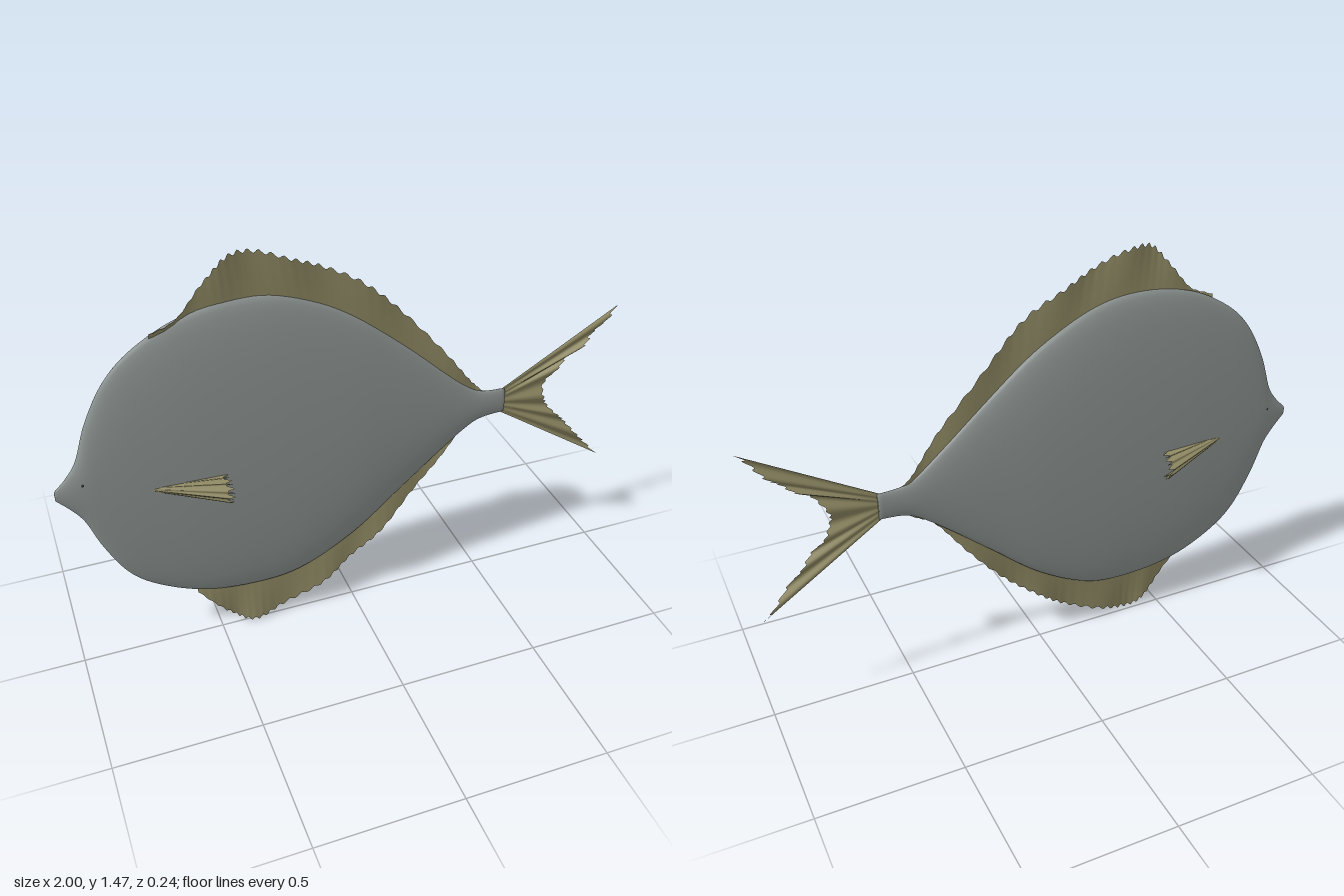
import * as THREE from 'three';

const bodyMat = new THREE.MeshStandardMaterial({ color: 0x8b9290 });
bodyMat.name = 'silver grey';
const finMat = new THREE.MeshStandardMaterial({ color: 0x8f8963, side: THREE.DoubleSide });
finMat.name = 'olive fin';
const eyeMat = new THREE.MeshStandardMaterial({ color: 0x2c2f2e });
eyeMat.name = 'dark eye';

const spline = (pts) =>
  new THREE.CatmullRomCurve3(pts.map(([x, y, z = 0]) => new THREE.Vector3(x, y, z)), false, 'catmullrom', 0.5);

// Grid surface from fn(u, v) -> [x, y, z]; closed wraps the v direction
function surface(nu, nv, fn, closed = false) {
  const pos = [], index = [];
  const cols = closed ? nv : nv + 1;
  for (let i = 0; i <= nu; i++) for (let j = 0; j < cols; j++) pos.push(...fn(i / nu, j / nv));
  for (let i = 0; i < nu; i++) {
    for (let j = 0; j < nv; j++) {
      const k = (j + 1) % cols;
      const a = i * cols + j, b = i * cols + k, c = a + cols, d = b + cols;
      index.push(a, b, c, b, d, c);
    }
  }
  const g = new THREE.BufferGeometry();
  g.setAttribute('position', new THREE.Float32BufferAttribute(pos, 3));
  g.setIndex(index);
  g.computeVertexNormals();
  return g;
}

function mesh(name, geometry, material) {
  const m = new THREE.Mesh(geometry, material);
  m.name = name;
  return m;
}

// Body stations: x, top, bottom, half thickness
const stations = [
  [-1, 0.74, 0.705, 0.005], [-0.96, 0.78, 0.66, 0.014], [-0.92, 0.84, 0.6, 0.022],
  [-0.875, 0.97, 0.48, 0.029], [-0.805, 1.1, 0.35, 0.036], [-0.71, 1.195, 0.265, 0.043],
  [-0.56, 1.275, 0.194, 0.051], [-0.38, 1.307, 0.167, 0.055], [-0.2, 1.283, 0.185, 0.055],
  [0, 1.18, 0.29, 0.05], [0.18, 1.035, 0.44, 0.038], [0.33, 0.9, 0.567, 0.026],
  [0.43, 0.815, 0.645, 0.018], [0.49, 0.785, 0.674, 0.014], [0.575, 0.778, 0.682, 0.01],
];
const topCurve = spline(stations.map(([x, t, , w]) => [x, t, w]));
const bottomCurve = spline(stations.map(([x, , b]) => [x, b]));

function bodyGeometry() {
  const n = 90;
  return surface(n, 48, (u, v) => {
    const row = Math.round(u * n);
    const t = THREE.MathUtils.clamp((row - 1) / (n - 2), 0, 1);
    const size = row === 0 || row === n ? 0 : 1; // closes both ends
    const p = topCurve.getPoint(t), q = bottomCurve.getPoint(t);
    const a = v * Math.PI * 2;
    return [
      p.x,
      (p.y + q.y) / 2 + size * Math.cos(a) * (p.y - q.y) / 2,
      size * Math.sin(a) * p.z,
    ];
  }, true);
}

// Scalloped edge: 0 on the ray tips, growing to 1 in the notches
const notch = (u, count) => Math.abs(Math.sin(u * count * Math.PI)) ** 2;

// Ruled fin membrane between a root curve and a ragged tip curve, gently rippled in z
function finGeometry(root, tip, { rays, ragged, wave, waves, lean = 0 }) {
  return surface(rays * 6, 8, (u, v) => {
    const a = root.getPoint(u), b = tip.getPoint(u);
    const p = a.lerp(b, v * (1 - ragged * notch(u, rays)));
    const z = v * (wave * Math.sin(u * waves * Math.PI * 2) + lean * (1 - u));
    return [p.x, p.y, p.z + z];
  });
}

export function createModel() {
  const model = new THREE.Group();
  model.name = 'fish';
  model.add(mesh('body', bodyGeometry(), bodyMat));

  // Long fins above and below the body
  const dorsalRoot = spline([[-0.65, 1.2], [-0.56, 1.24], [-0.46, 1.26], [-0.38, 1.27], [-0.28, 1.26],
    [-0.17, 1.23], [-0.06, 1.17], [0.06, 1.09], [0.18, 1], [0.32, 0.87], [0.43, 0.78], [0.49, 0.76]]);
  const dorsalTip = spline([[-0.65, 1.245], [-0.56, 1.285], [-0.47, 1.39], [-0.4, 1.462], [-0.31, 1.462],
    [-0.2, 1.42], [-0.09, 1.37], [0.04, 1.295], [0.17, 1.17], [0.33, 0.985], [0.436, 0.845], [0.49, 0.785]]);
  const ripple = { rays: 32, ragged: 0.07, wave: 0.006, waves: 5, lean: 0.012 };
  model.add(mesh('dorsalFin', finGeometry(dorsalRoot, dorsalTip, ripple), finMat));

  const analRoot = spline([[-0.58, 0.24], [-0.47, 0.21], [-0.39, 0.2], [-0.28, 0.21], [-0.12, 0.26],
    [0, 0.33], [0.12, 0.42], [0.26, 0.55], [0.38, 0.65], [0.48, 0.7]]);
  const analTip = spline([[-0.58, 0.195], [-0.47, 0.06], [-0.39, 0], [-0.28, 0.024], [-0.12, 0.09],
    [0, 0.18], [0.125, 0.285], [0.275, 0.462], [0.39, 0.612], [0.48, 0.672]]);
  model.add(mesh('analFin', finGeometry(analRoot, analTip, ripple), finMat));

  // Forked tail
  const tailRoot = spline([[0.56, 0.775], [0.56, 0.73], [0.56, 0.685]]);
  const tailTip = spline([[1, 1.03], [0.925, 0.935], [0.86, 0.875], [0.785, 0.82], [0.735, 0.735],
    [0.765, 0.66], [0.83, 0.59], [0.9, 0.505], [1, 0.39]]);
  model.add(mesh('tailFin',
    finGeometry(tailRoot, tailTip, { rays: 24, ragged: 0.05, wave: 0.009, waves: 6 }), finMat));

  // Cupped side fins and small eyes, mirrored in z
  for (const side of [1, -1]) {
    const name = side > 0 ? 'front' : 'back';
    const root = spline([[-0.7, 0.71, 0.036 * side], [-0.71, 0.7, 0.04 * side], [-0.7, 0.688, 0.036 * side]]);
    const tip = spline([[-0.45, 0.705, 0.055 * side], [-0.445, 0.69, 0.092 * side], [-0.445, 0.655, 0.118 * side],
      [-0.45, 0.618, 0.098 * side], [-0.46, 0.597, 0.05 * side]]);
    model.add(mesh(name + 'PectoralFin',
      finGeometry(root, tip, { rays: 12, ragged: 0.09, wave: 0.004, waves: 6 }), finMat));

    const eye = mesh(name + 'Eye', new THREE.SphereGeometry(0.005, 12, 8), eyeMat);
    eye.scale.z = 0.6;
    eye.position.set(-0.91, 0.757, 0.0215 * side);
    model.add(eye);
  }
  return model;
}
